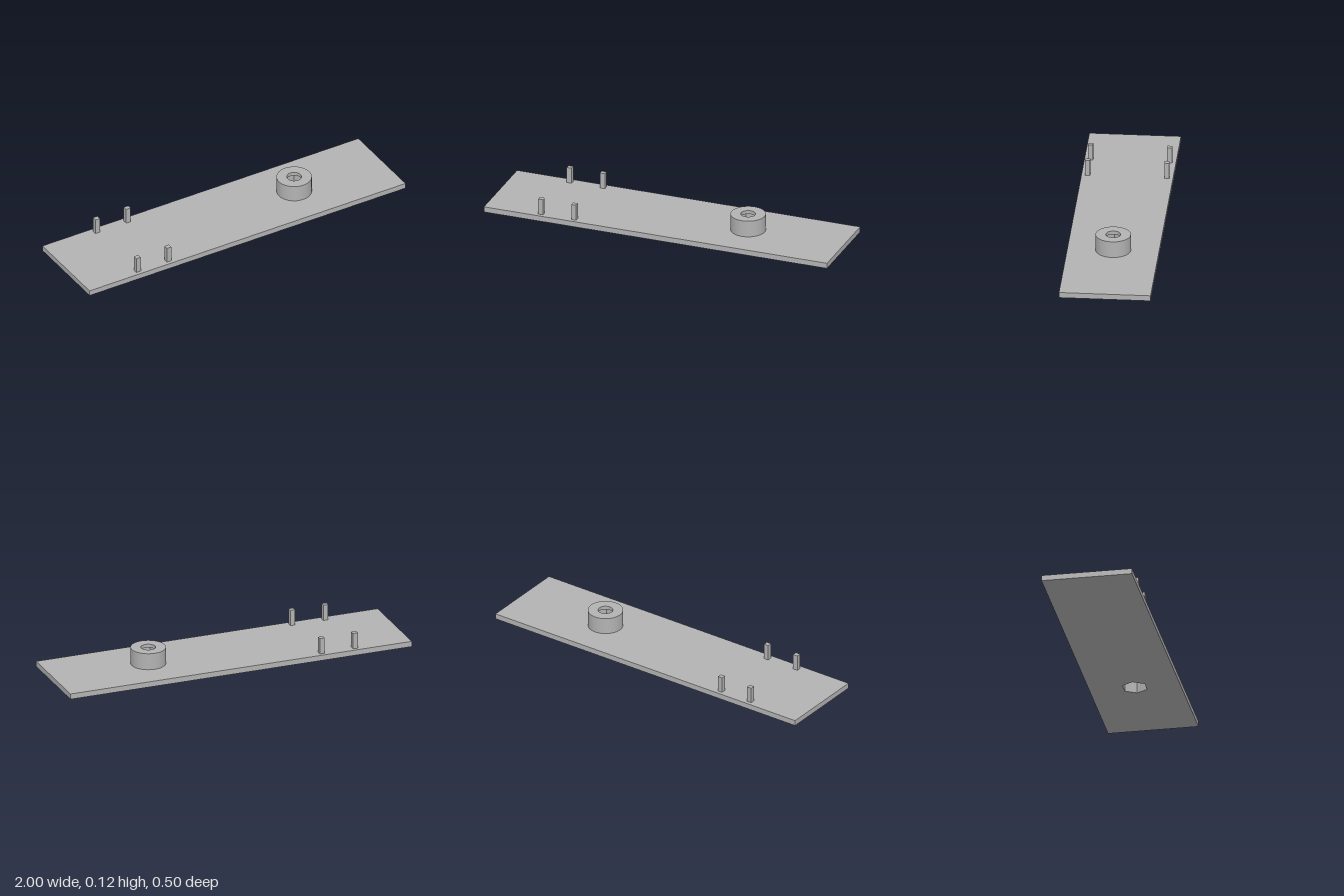
import * as THREE from 'three';
import { toCreasedNormals } from 'three/addons/utils/BufferGeometryUtils.js';

const BOSS_X = 0.444;
const PLATE_TOP = 0.031;
const LIP_Y = 0.105;
const BOSS_TOP = 0.125;

// Hexagonal nut pocket outline, corners along x
function hexPath(cx, r) {
  const points = [];
  for (let i = 0; i < 6; i++) {
    const a = -i * Math.PI / 3;
    points.push(new THREE.Vector2(cx + r * Math.cos(a), r * Math.sin(a)));
  }
  return new THREE.Path(points);
}

function disc(r) {
  return new THREE.Shape().absarc(0, 0, r, 0, Math.PI * 2, false);
}

// Extrudes a plan outline upward from y0 to y1
function slab(name, shape, hole, y0, y1, material) {
  shape.holes.push(hole);
  const extruded = new THREE.ExtrudeGeometry(shape, {
    depth: y1 - y0, bevelEnabled: false, curveSegments: 48,
  });
  extruded.rotateX(-Math.PI / 2);
  const mesh = new THREE.Mesh(toCreasedNormals(extruded, 0.6), material);
  mesh.name = name;
  mesh.position.y = y0;
  return mesh;
}

export function createModel() {
  const model = new THREE.Group();
  model.name = 'mountingPlate';
  const grey = new THREE.MeshStandardMaterial({ color: 0xb3b3b3 });
  grey.name = 'grey plastic';

  // Base plate with the nut pocket opening
  const outline = new THREE.Shape([
    new THREE.Vector2(-1, -0.25), new THREE.Vector2(1, -0.25),
    new THREE.Vector2(1, 0.25), new THREE.Vector2(-1, 0.25),
  ]);
  model.add(slab('basePlate', outline, hexPath(BOSS_X, 0.071), 0, PLATE_TOP, grey));

  // Round boss: hexagonal pocket below, lip with a round bore on top
  const boss = new THREE.Group();
  boss.name = 'boss';
  boss.position.x = BOSS_X;
  boss.add(slab('bossWall', disc(0.096), hexPath(0, 0.071), PLATE_TOP, LIP_Y, grey));
  boss.add(slab('bossLip', disc(0.096), disc(0.04), LIP_Y, BOSS_TOP, grey));
  model.add(boss);

  // Four upright pegs
  const pegHeight = 0.09;
  const pegGeometry = new THREE.BoxGeometry(0.028, pegHeight, 0.027);
  for (const x of [-0.678, -0.484]) {
    for (const z of [-0.216, 0.216]) {
      const peg = new THREE.Mesh(pegGeometry, grey);
      peg.name = 'peg';
      peg.position.set(x, PLATE_TOP + pegHeight / 2, z);
      model.add(peg);
    }
  }
  return model;
}
